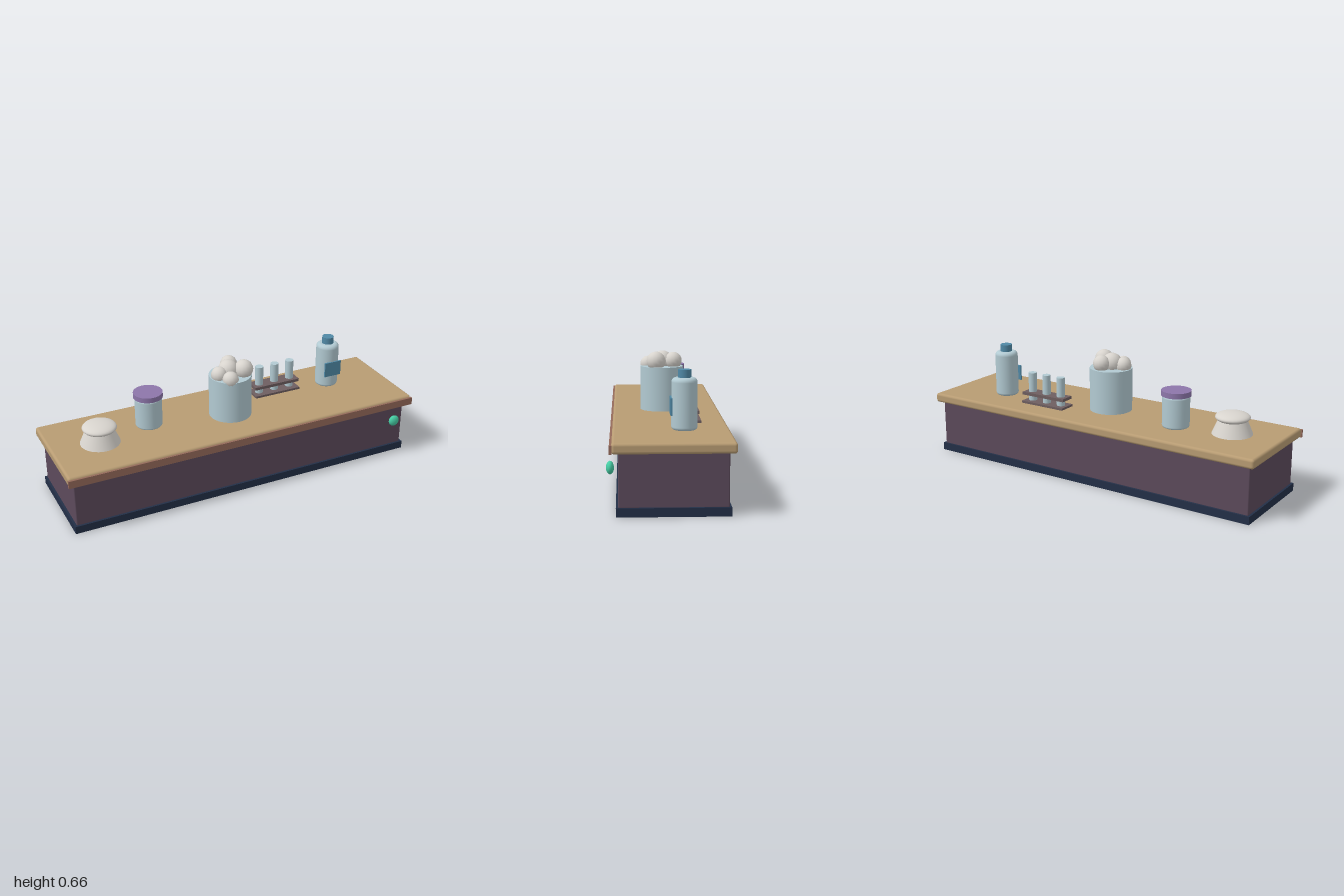
import * as THREE from 'three';
import { RoundedBoxGeometry } from 'three/addons/geometries/RoundedBoxGeometry.js';

const mat = (name, color) => {
  const m = new THREE.MeshStandardMaterial({ color });
  m.name = name;
  return m;
};

export function createModel() {
  const wood = mat('counter wood', 0xb89c73);
  const trim = mat('trim brown', 0x966b5b);
  const plum = mat('cabinet plum', 0x5c4a5b);
  const navy = mat('plinth navy', 0x232f47);
  const glass = mat('pale glass', 0xb2cad2);
  const blue = mat('label blue', 0x5089a6);
  const purple = mat('lid purple', 0x8d76aa);
  const white = mat('cotton white', 0xd8d4ce);
  const rackGrey = mat('rack grey', 0x6e5e60);
  const green = mat('knob green', 0x46cda4);

  const model = new THREE.Group();
  model.name = 'counter';

  const add = (parent, name, geometry, material, x, y, z) => {
    const mesh = new THREE.Mesh(geometry, material);
    mesh.name = name;
    mesh.position.set(x, y, z);
    parent.add(mesh);
    return mesh;
  };
  const group = (name, x, y, z) => {
    const g = new THREE.Group();
    g.name = name;
    g.position.set(x, y, z);
    model.add(g);
    return g;
  };
  const cylinder = (rTop, rBottom, h, sides = 32) => new THREE.CylinderGeometry(rTop, rBottom, h, sides);
  // Closed round body with rounded rims at bottom and top
  const roundedCylinder = (r, h, bottom, top) => {
    const pts = [new THREE.Vector2(0, 0)];
    for (let i = 0; i <= 5; i++) {
      const a = (i / 5) * Math.PI / 2;
      pts.push(new THREE.Vector2(r - bottom + bottom * Math.sin(a), bottom - bottom * Math.cos(a)));
    }
    for (let i = 0; i <= 5; i++) {
      const a = (i / 5) * Math.PI / 2;
      pts.push(new THREE.Vector2(r - top + top * Math.cos(a), h - top + top * Math.sin(a)));
    }
    pts.push(new THREE.Vector2(0, h));
    return new THREE.LatheGeometry(pts, 32);
  };

  // Cabinet
  add(model, 'plinth', new THREE.BoxGeometry(1.956, 0.042, 0.527), navy, 0, 0.021, -0.0105);
  add(model, 'cabinet', new RoundedBoxGeometry(1.934, 0.256, 0.506, 2, 0.006), plum, 0, 0.166, -0.011);
  add(model, 'countertop', new RoundedBoxGeometry(1.996, 0.051, 0.568, 3, 0.014), wood, 0, 0.3175, -0.012);
  add(model, 'frontTrim', new THREE.BoxGeometry(2, 0.041, 0.012), trim, 0, 0.3125, 0.276);
  add(model, 'knob', new THREE.SphereGeometry(0.031, 20, 14), green, 0.89, 0.212, 0.279).scale.z = 0.6;

  const top = 0.343;

  // Stone dish with a domed cushion
  const dish = group('dish', -0.738, top, 0);
  add(dish, 'dishBase', cylinder(0.072, 0.105, 0.078), white, 0, 0.039, 0);
  add(dish, 'dishDome', new THREE.SphereGeometry(0.09, 28, 16), white, 0, 0.087, 0).scale.y = 0.31;

  // Small jar with a lid
  const jar = group('lidJar', -0.444, top, -0.06);
  add(jar, 'jarBody', roundedCylinder(0.072, 0.169, 0.012, 0.012), glass, 0, 0, 0);
  add(jar, 'jarLid', cylinder(0.078, 0.078, 0.028), purple, 0, 0.182, 0);

  // Large jar heaped with cotton balls
  const cotton = group('cottonJar', 0, top, 0.01);
  add(cotton, 'cottonJarBody', cylinder(0.115, 0.115, 0.234), glass, 0, 0.117, 0);
  const balls = [
    [-0.01, 0.26, -0.006, 0.055],
    [0.064, 0.265, 0.032, 0.051],
    [0.02, 0.264, -0.062, 0.046],
    [-0.07, 0.251, 0.012, 0.044],
    [-0.032, 0.241, 0.072, 0.043],
  ];
  balls.forEach(([x, y, z, r]) => add(cotton, 'cottonBall', new THREE.SphereGeometry(r, 14, 10), white, x, y, z));

  // Rack with three tubes
  const rack = group('tubeRack', 0.337, top, -0.12);
  add(rack, 'rackBase', new THREE.BoxGeometry(0.274, 0.012, 0.1), rackGrey, 0, 0.006, 0);
  add(rack, 'rackShelf', new THREE.BoxGeometry(0.274, 0.016, 0.08), rackGrey, 0, 0.053, 0);
  for (const x of [-0.095, 0, 0.095]) {
    add(rack, 'tube', cylinder(0.023, 0.023, 0.157, 12), glass, x, 0.0905, 0);
  }

  // Bottle with cap and front label
  const bottle = group('bottle', 0.65, top, -0.075);
  add(bottle, 'bottleBody', roundedCylinder(0.063, 0.252, 0.016, 0.022), glass, 0, 0, 0);
  add(bottle, 'bottleCap', cylinder(0.032, 0.032, 0.042), blue, 0, 0.269, 0);
  add(bottle, 'bottleLabel', new THREE.BoxGeometry(0.1, 0.084, 0.009), blue, 0, 0.116, 0.0645);

  return model;
}
